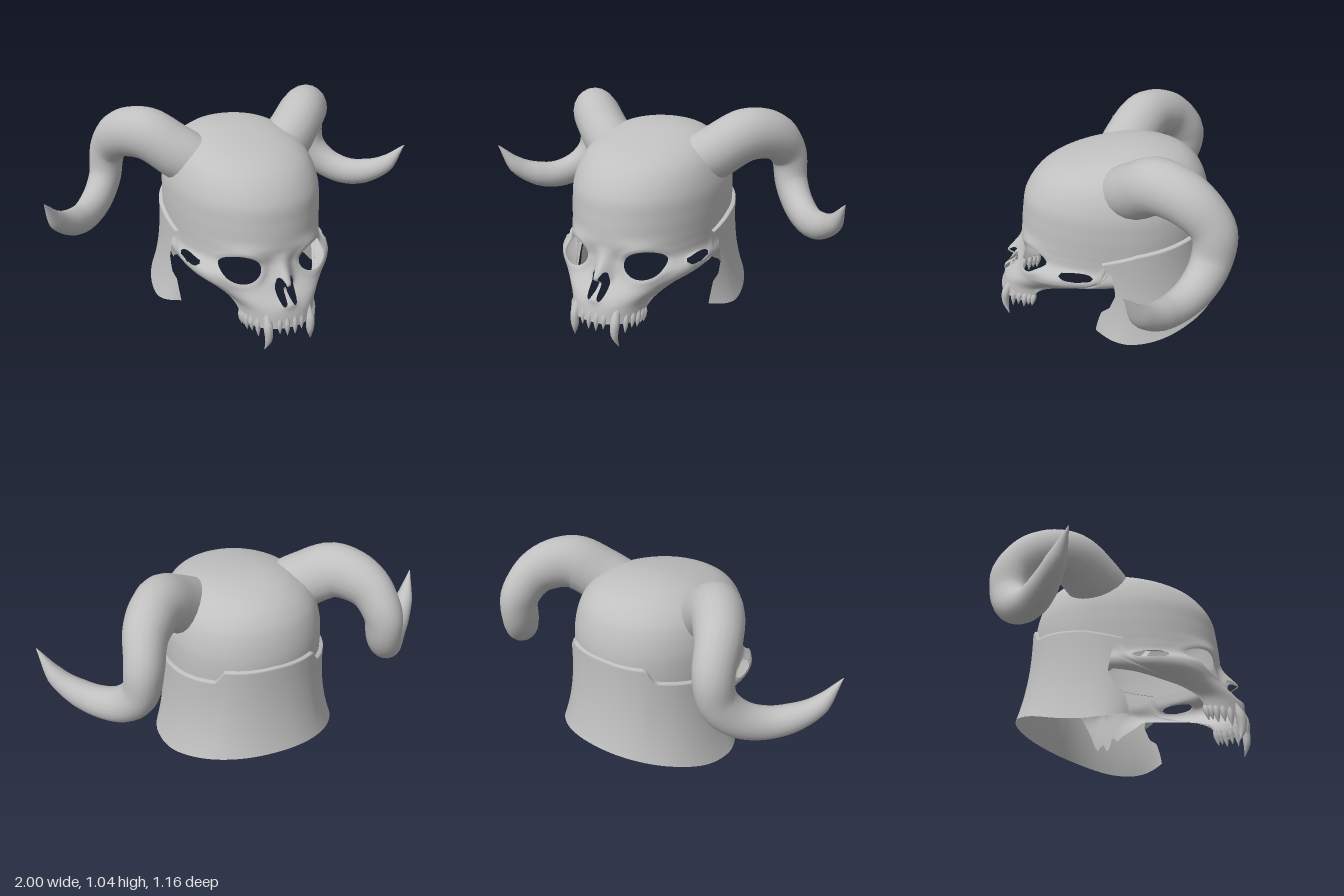
import * as THREE from 'three';
import { mergeVertices } from 'three/addons/utils/BufferGeometryUtils.js';

const RAD = Math.PI / 180;
const bone = new THREE.MeshStandardMaterial({ color: 0xc0c0c0, side: THREE.DoubleSide });
bone.name = 'bone grey';

const mesh = (name, geometry) => {
  const m = new THREE.Mesh(geometry, bone);
  m.name = name;
  return m;
};
const smooth = (a, b, x) => THREE.MathUtils.smoothstep(x, a, b);
const bell = (x, width) => Math.exp(-((x / width) ** 2));

// Linear lookup in rows of [key, value], keys rising
function lookup(rows, k) {
  if (k <= rows[0][0]) return rows[0][1];
  for (let i = 1; i < rows.length; i++) {
    const [a, va] = rows[i - 1], [b, vb] = rows[i];
    if (k <= b) return va + (vb - va) * (k - a) / (b - a);
  }
  return rows[rows.length - 1][1];
}

// Smooth (Hermite) lookup of one column, keys falling
function curveAt(rows, col, k) {
  const n = rows.length;
  let i = 0;
  while (i < n - 2 && k < rows[i + 1][0]) i++;
  const slope = j => {
    const a = rows[Math.max(j - 1, 0)], b = rows[Math.min(j + 1, n - 1)];
    return (b[col] - a[col]) / (b[0] - a[0]);
  };
  const p = rows[i], q = rows[i + 1], h = q[0] - p[0];
  const t = THREE.MathUtils.clamp((k - p[0]) / h, 0, 1), t2 = t * t, t3 = t2 * t;
  return (2 * t3 - 3 * t2 + 1) * p[col] + (t3 - 2 * t2 + t) * h * slope(i)
    + (3 * t2 - 2 * t3) * q[col] + (t3 - t2) * h * slope(i + 1);
}

// Grid surface; fn(u, v) gives { p, hole }, cells wholly in a hole are left out
function grid(nu, nv, fn) {
  const pos = [], hole = [], index = [];
  for (let j = 0; j <= nv; j++) for (let i = 0; i <= nu; i++) {
    const r = fn(i / nu, j / nv);
    pos.push(r.p.x, r.p.y, r.p.z);
    hole.push(r.hole);
  }
  for (let j = 0; j < nv; j++) for (let i = 0; i < nu; i++) {
    const a = j * (nu + 1) + i, b = a + 1, c = a + nu + 1, d = c + 1;
    if (hole[a] && hole[b] && hole[c] && hole[d]) continue;
    index.push(a, c, b, b, c, d);
  }
  let g = new THREE.BufferGeometry();
  g.setAttribute('position', new THREE.Float32BufferAttribute(pos, 3));
  g.setIndex(index);
  g = mergeVertices(g, 1e-5);
  g.computeVertexNormals();
  return g;
}

// Tapered tube, optionally flattened sideways; radii are spread evenly along the path
function sweep(points, radii, steps, sides, flat = 1) {
  const path = new THREE.CatmullRomCurve3(points.map(p => new THREE.Vector3(...p)));
  const g = new THREE.TubeGeometry(path, steps, 1, sides);
  const pos = g.attributes.position, v = new THREE.Vector3();
  const table = radii.map((r, i) => [i / (radii.length - 1), r]);
  for (let i = 0; i < pos.count; i++) {
    const t = Math.floor(i / (sides + 1)) / steps;
    const c = path.getPointAt(t);
    v.fromBufferAttribute(pos, i).sub(c).multiplyScalar(lookup(table, t));
    v.x *= flat;
    v.add(c);
    pos.setXYZ(i, v.x, v.y, v.z);
  }
  g.deleteAttribute('uv');
  g.deleteAttribute('normal');
  const m = mergeVertices(g, 1e-5);
  m.computeVertexNormals();
  return m;
}

// Skull levels: y, half width, front z, widest z, squareness
const LEVELS = [
  [0.945, 0, -0.15, -0.16, 2], [0.941, 0.09, -0.09, -0.16, 2], [0.925, 0.175, 0.01, -0.15, 2],
  [0.90, 0.24, 0.12, -0.13, 2], [0.86, 0.3, 0.25, -0.12, 2.05], [0.80, 0.345, 0.345, -0.11, 2.1],
  [0.70, 0.378, 0.415, -0.1, 2.1], [0.60, 0.385, 0.435, -0.1, 2.1], [0.50, 0.383, 0.445, -0.1, 2.1],
  [0.45, 0.38, 0.445, -0.1, 2.15], [0.40, 0.38, 0.434, -0.1, 2.35], [0.36, 0.393, 0.437, -0.08, 3],
  [0.32, 0.375, 0.455, 0, 2.9], [0.28, 0.31, 0.49, 0.12, 2.7], [0.24, 0.245, 0.53, 0.25, 2.5],
  [0.20, 0.207, 0.555, 0.31, 2.4], [0.12, 0.195, 0.568, 0.34, 2.3],
];
// Rear z by level
const BACK = [[0.945, -0.165], [0.941, -0.235], [0.925, -0.32], [0.9, -0.385], [0.86, -0.435], [0.8, -0.475],
  [0.7, -0.505], [0.6, -0.512], [0.4, -0.5], [0.1, -0.46]];
// Lower rim of the skull by angle from the front
const RIM = [[0, 0.12], [74, 0.12], [76, 0.2], [79, 0.26], [83, 0.295], [91, 0.32], [97, 0.25], [101, 0.2],
  [104, 0.25], [108, 0.13], [112, 0.2], [117, 0.14], [122, 0.25], [128, 0.36], [140, 0.34], [150, 0.39], [180, 0.37]];

function skullPoint(theta, y) {
  const deg = Math.abs(theta) / RAD, s = Math.sin(theta), c = Math.cos(theta);
  // Below the sockets the rear stays wide while the jaw narrows
  const rear = y < 0.4 ? smooth(86, 100, deg) : 0;
  const w = THREE.MathUtils.lerp(curveAt(LEVELS, 1, y), 0.38 - 0.18 * (0.4 - y), rear);
  const zm = THREE.MathUtils.lerp(curveAt(LEVELS, 3, y), -0.1, rear);
  const n = curveAt(LEVELS, 4, y);
  const r = Math.pow(Math.pow(Math.abs(s), n) + Math.pow(Math.abs(c), n), -1 / n);
  const zEnd = c > 0 ? curveAt(LEVELS, 2, y) : curveAt(BACK, 1, y);
  return new THREE.Vector3(w * s * r, y, zm + Math.abs(zEnd - zm) * c * r);
}

// Depth of the face at a given x and y
function faceZ(x, y) {
  const [w, zf, zm, n] = [1, 2, 3, 4].map(col => curveAt(LEVELS, col, y));
  return zm + (zf - zm) * Math.pow(Math.max(1 - Math.pow(Math.abs(x) / w, n), 0), 1 / n);
}

function skullSurface(u, v) {
  const k = u * 2 - 1;
  const theta = Math.PI * k * (0.6 + 0.4 * k * k);
  const low = lookup(RIM, Math.abs(theta) / RAD);
  const p = skullPoint(theta, 0.945 - (0.945 - low) * Math.pow(v, 1.6));
  const side = Math.sign(p.x) || 1;
  let hole = false;
  // Push a point inside an elliptical opening out to its edge
  const cut = (axis, ca, cy, ra, ry) => {
    const a = (p[axis] - ca) / ra, b = (p.y - cy) / ry, rho = Math.hypot(a, b);
    if (rho < 1) {
      hole = true;
      const f = 1 / Math.max(rho, 0.01);
      p[axis] = ca + a * f * ra;
      p.y = cy + b * f * ry;
    }
    return rho;
  };
  if (p.z > 0.2) {
    // Eye sockets and nostrils
    const rho = cut('x', side * 0.188, 0.39, 0.088, 0.064);
    cut('x', side * 0.028, 0.29, 0.021, 0.064);
    if (hole) p.z = faceZ(p.x, p.y);
    // Nasal bones, spine below the nose, brow and socket rims
    const nose = bell(p.x, 0.042);
    p.z += nose * 0.085 * (1 - smooth(0.325, 0.47, p.y)) * smooth(0.285, 0.33, p.y);
    p.z += nose * 0.02 * bell(p.y - 0.235, 0.02);
    p.z += 0.012 * bell(p.y - 0.475, 0.03) * bell(Math.abs(p.x) - 0.17, 0.09);
    p.z += 0.007 * bell(Math.max(rho, 1) - 1.15, 0.25);
  }
  // Gap above the cheek arch
  if (Math.abs(p.x) > 0.28) cut('z', 0.165, 0.378, 0.085, 0.021);
  return { p, hole };
}

// Flared neck guard: top and front edges by angle and height, bottom edge by depth
const GUARD_TOP = [[74, 0.465], [95, 0.515], [130, 0.555], [141, 0.567], [147, 0.635], [180, 0.645]];
const GUARD_BOTTOM = [[0.07, 0.08], [-0.02, 0.055], [-0.12, 0.045], [-0.25, 0.062], [-0.42, 0.115], [-0.585, 0.17]];
const GUARD_FRONT = [[0, 55.5], [0.33, 67.5], [0.42, 75], [0.57, 80], [0.83, 79], [1, 74]];

function guardSurface(u, v) {
  const k = u * 2 - 1, lip = v === 0;
  const t = lip ? 1 : 1 - (v - 0.025) / 0.975;
  const deg = 180 - (180 - lookup(GUARD_FRONT, t)) * Math.abs(k);
  const s = Math.sin(deg * RAD), c = Math.cos(deg * RAD);
  const n = c > 0 ? 2 : 2.15;
  const r = Math.pow(Math.pow(Math.abs(s), n) + Math.pow(Math.abs(c), n), -1 / n);
  const top = lookup(GUARD_TOP, deg);
  const bottom = curveAt(GUARD_BOTTOM, 1, -0.1 + (c > 0 ? 0.3 : 0.485) * c * r);
  const flare = Math.pow(1 - t, 2.4), inset = lip ? 0.94 : 1;
  const depth = c > 0 ? 0.3 + 0.2 * t : 0.425 + 0.06 * flare;
  return {
    p: new THREE.Vector3(Math.sign(k) * (0.402 + 0.065 * flare) * s * r * inset,
      bottom + (top - bottom) * t, -0.1 + depth * c * r * inset),
    hole: false,
  };
}

export function createModel() {
  const model = new THREE.Group();
  model.name = 'hornedSkullHelmet';
  model.add(mesh('skull', grid(200, 110, skullSurface)));
  model.add(mesh('neckGuard', grid(96, 40, guardSurface)));

  // Curled horns
  const hornPath = [
    [0.2, 0.75, -0.06], [0.31, 0.82, -0.12], [0.44, 0.905, -0.22], [0.545, 0.873, -0.355], [0.59, 0.76, -0.452],
    [0.615, 0.62, -0.445], [0.685, 0.522, -0.375], [0.795, 0.486, -0.255], [0.925, 0.55, -0.13], [1, 0.69, -0.045],
  ];
  const hornRadii = [0.138, 0.141, 0.137, 0.125, 0.108, 0.098, 0.09, 0.08, 0.07, 0.048, 0.002];
  // Teeth: angle along the jaw, length, radius
  const teeth = [[6, 0.045, 0.016], [17, 0.03, 0.015], [46, 0.055, 0.016], [55, 0.035, 0.016],
    [63, 0.042, 0.017], [69, 0.028, 0.016], [74, 0.03, 0.016]];
  for (const side of [1, -1]) {
    const label = side > 0 ? 'left' : 'right';
    const flip = pts => pts.map(([x, y, z]) => [x * side, y, z]);
    model.add(mesh(label + 'Horn', sweep(flip(hornPath), hornRadii, 60, 20, 0.87)));
    // Long curved fang
    model.add(mesh(label + 'Fang', sweep(
      flip([[0.108, 0.19, 0.515], [0.112, 0.12, 0.545], [0.112, 0.06, 0.548], [0.125, 0.002, 0.533]]),
      [0.016, 0.024, 0.018, 0.001], 14, 10)));
    teeth.forEach(([deg, length, radius], i) => {
      const p = skullPoint(deg * RAD, 0.135);
      model.add(mesh(label + 'Tooth' + (i + 1), sweep(
        flip([[p.x * 0.96, 0.17, p.z - 0.014], [p.x * 0.99, 0.125, p.z - 0.003], [p.x * 0.98, 0.122 - length, p.z + 0.003]]),
        [0.01, radius, radius * 0.7, 0.001], 8, 8)));
    });
  }
  return model;
}
